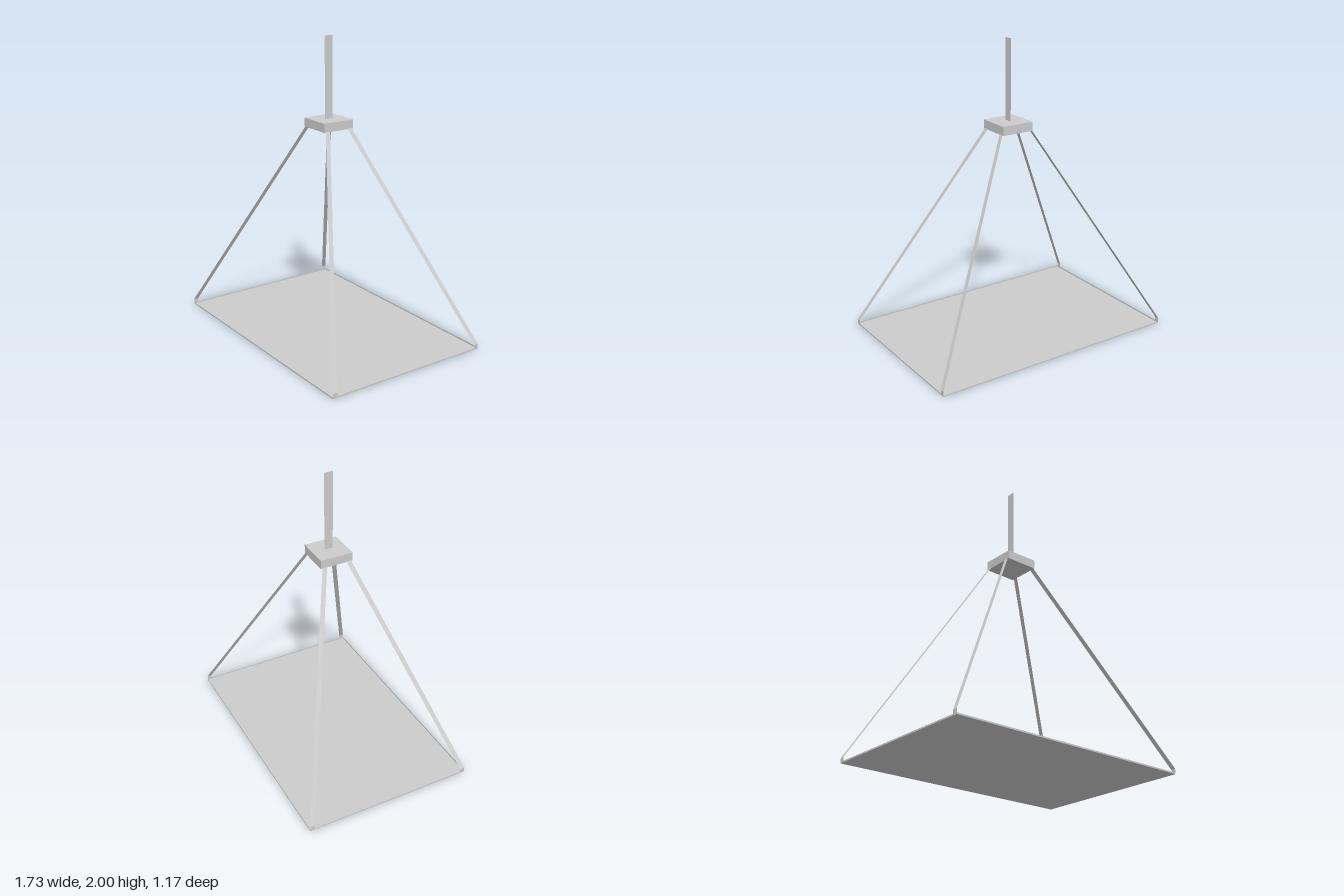
import * as THREE from 'three';

const material = new THREE.MeshStandardMaterial({
  color: 0xcccccc, flatShading: true, side: THREE.DoubleSide,
});

function addMesh(parent, name, geometry, x = 0, y = 0, z = 0) {
  const mesh = new THREE.Mesh(geometry, material);
  mesh.name = name;
  mesh.position.set(x, y, z);
  parent.add(mesh);
  return mesh;
}

// Flat ribbon through sections [x, y, zInner, zOuter], mirrored by sx and sz
function ribbon(sections, sx, sz) {
  const points = [], index = [];
  sections.forEach(([x, y, z0, z1], i) => {
    points.push(sx * x, y, sz * z0, sx * x, y, sz * z1);
    if (i === 0) return;
    const a = 2 * i - 2;
    if (sx * sz > 0) index.push(a, a + 2, a + 1, a + 1, a + 2, a + 3);
    else index.push(a, a + 1, a + 2, a + 1, a + 3, a + 2);
  });
  const geometry = new THREE.BufferGeometry();
  geometry.setAttribute('position', new THREE.Float32BufferAttribute(points, 3));
  geometry.setIndex(index);
  geometry.computeVertexNormals();
  return geometry;
}

export function createModel() {
  const model = new THREE.Group();
  model.name = 'hangingPlatform';
  const halfX = 0.867, halfZ = 0.583, rim = 0.01;

  // Shallow tray: thin floor with a low rim
  const tray = new THREE.Group();
  tray.name = 'tray';
  model.add(tray);
  addMesh(tray, 'floor', new THREE.PlaneGeometry(2 * halfX, 2 * halfZ)).rotation.x = -Math.PI / 2;
  for (const s of [-1, 1]) {
    addMesh(tray, 'longRim', new THREE.PlaneGeometry(2 * halfX, rim), 0, rim / 2, s * halfZ)
      .rotation.y = s > 0 ? 0 : Math.PI;
    addMesh(tray, 'shortRim', new THREE.PlaneGeometry(2 * halfZ, rim), s * halfX, rim / 2, 0)
      .rotation.y = s * Math.PI / 2;
  }

  // Four straps: upright tab at the tray corner, then a slope up to the block
  const path = [
    [halfX, 0, 0.55, halfZ],
    [halfX, 0.035, 0.55, halfZ],
    [0.11, 1.41, 0.067, 0.1],
  ];
  for (const sx of [-1, 1]) {
    for (const sz of [-1, 1]) addMesh(model, 'strap', ribbon(path, sx, sz));
  }

  // Block joining the straps, and the flat hanger above it
  addMesh(model, 'block', new THREE.BoxGeometry(0.226, 0.06, 0.226), 0, 1.43, 0);
  addMesh(model, 'hanger', new THREE.PlaneGeometry(0.06, 0.54), 0, 1.73, 0).rotation.y = Math.PI / 2;

  return model;
}
